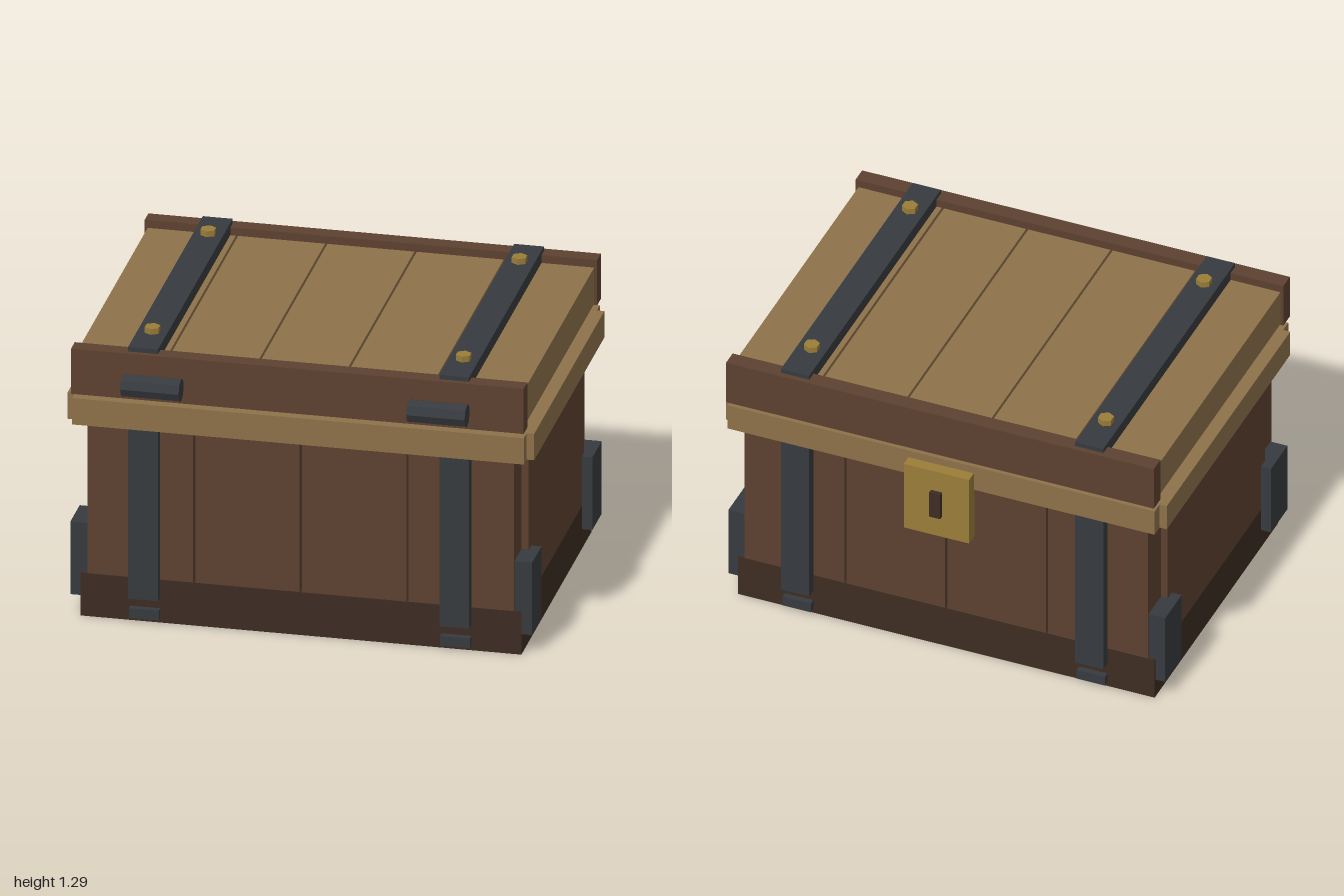
import * as THREE from 'three';

const paint = (color) => new THREE.MeshStandardMaterial({ color, flatShading: true });

export function createModel() {
  const chest = new THREE.Group();
  chest.name = 'chest';
  const wood = paint(0x5c4130), darkWood = paint(0x3d2c22), paleWood = paint(0x8d714a);
  const iron = paint(0x363a3e), brass = paint(0x9a7d38);

  // Box given by its low and high limits on each axis
  const box = (name, mat, [x0, x1], [y0, y1], [z0, z1]) => {
    const mesh = new THREE.Mesh(new THREE.BoxGeometry(x1 - x0, y1 - y0, z1 - z0), mat);
    mesh.position.set((x0 + x1) / 2, (y0 + y1) / 2, (z0 + z1) / 2);
    mesh.name = name;
    chest.add(mesh);
    return mesh;
  };
  // The body is centred slightly behind the origin; mirror z about that plane
  const zc = -0.017;
  const zSpan = (side, a, b) => [zc + side * a, zc + side * b].sort((p, q) => p - q);
  const xSpan = (side, a, b) => [side * a, side * b].sort((p, q) => p - q);

  // Base block
  box('base', darkWood, [-0.945, 0.945], [0, 0.195], zSpan(1, -0.667, 0.667));

  for (const s of [-1, 1]) {
    // Upright planks of the front and back walls, with open gaps between
    for (let i = 0; i < 4; i++) {
      const x = -0.914 + i * 0.457;
      box('wallPlank', wood, [x + (i ? 0.005 : 0), x + 0.457 - (i < 3 ? 0.005 : 0)], [0.195, 0.9], zSpan(s, 0.527, 0.667));
    }
    // Side wall
    box('sideWall', wood, xSpan(s, 0.85, 0.945), [0.195, 0.9], zSpan(1, -0.527, 0.527));

    // Rim frame
    box('longRim', paleWood, [-0.968, 0.968], [0.89, 1.01], zSpan(s, 0.58, 0.722));
    box('sideRim', paleWood, xSpan(s, 0.87, 1), [0.89, 1.01], zSpan(1, -0.667, 0.667));

    // Lid rails
    box('lidRail', wood, [-0.97, 0.97], [1.035, 1.24], zSpan(s, 0.664, 0.735));

    // Lid strap and its hexagonal bolts
    const x = s * 0.667;
    const strapX = [x - 0.064, x + 0.064];
    box('lidStrap', iron, strapX, [1.2, 1.26], zSpan(1, -0.711, 0.711));
    for (const t of [-1, 1]) {
      const bolt = new THREE.Mesh(new THREE.CylinderGeometry(0.034, 0.034, 0.04, 6), brass);
      bolt.position.set(x, 1.266, zc + t * 0.53);
      bolt.name = 'bolt';
      chest.add(bolt);

      // Wall straps with a short foot clip below
      box('wallStrap', iron, strapX, [0.115, 0.9], zSpan(t, 0.66, 0.711));
      box('strapFoot', iron, strapX, [0.02, 0.065], zSpan(t, 0.66, 0.694));

      // Corner brackets on the sides
      box('cornerBracket', iron, xSpan(s, 0.905, 0.99), [0.09, 0.42], zSpan(t, 0.482, 0.66));
    }

    // Hinge barrel
    const hinge = new THREE.Mesh(new THREE.CylinderGeometry(0.05, 0.05, 0.25, 8), iron);
    hinge.rotation.z = Math.PI / 2;
    hinge.position.set(s * 0.613, 1.115, 0.763);
    hinge.name = 'hinge';
    chest.add(hinge);
  }

  // Lid planks
  for (let i = 0; i < 5; i++) {
    const x = -0.957 + i * 0.3828;
    box('lidPlank', paleWood, [x + (i ? 0.005 : 0), x + 0.3828 - (i < 4 ? 0.005 : 0)], [1.04, 1.205], zSpan(1, -0.667, 0.667));
  }

  // Lock plate and keyhole
  box('lockPlate', brass, [-0.148, 0.148], [0.645, 0.975], [-0.79, -0.73]);
  box('keyhole', darkWood, [-0.025, 0.025], [0.75, 0.875], [-0.81, -0.78]);

  return chest;
}
